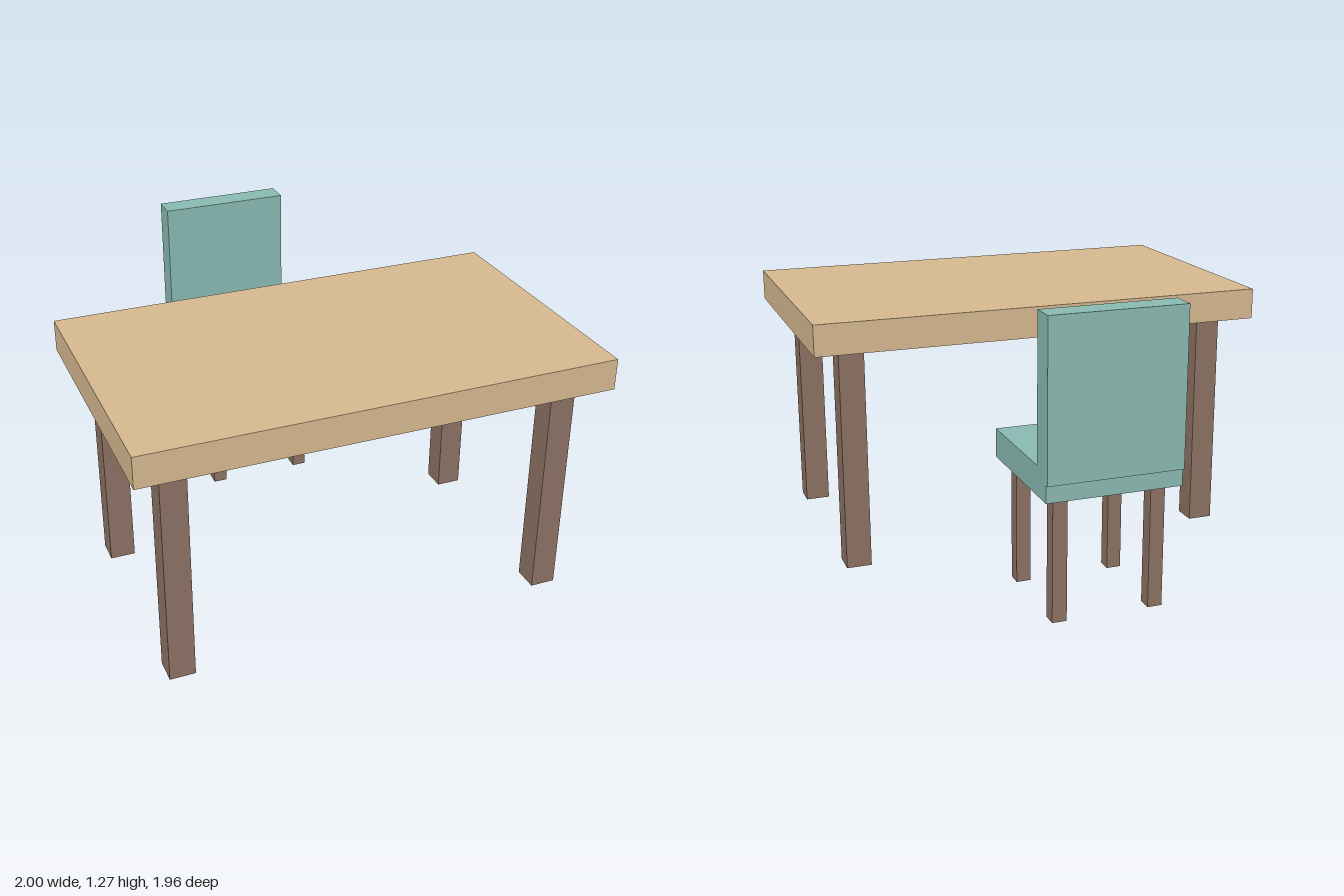
import * as THREE from 'three';

const material = (color) => new THREE.MeshStandardMaterial({ color });

// Box given by its size and centre
function addBox(parent, name, mat, size, centre) {
  const mesh = new THREE.Mesh(new THREE.BoxGeometry(...size), mat);
  mesh.name = name;
  mesh.position.set(...centre);
  parent.add(mesh);
}

// Four square legs standing on the ground, mirrored in x and z
function addLegs(parent, name, mat, thickness, height, x, z) {
  for (const sx of [-1, 1]) {
    for (const sz of [-1, 1]) {
      addBox(parent, name, mat, [thickness, height, thickness], [sx * x, height / 2, sz * z]);
    }
  }
}

export function createModel() {
  const model = new THREE.Group();
  model.name = 'tableAndChair';

  const tan = material(0xd4b78f);
  const brown = material(0x8b7062);
  const teal = material(0x88b8b0);

  // Table
  const table = new THREE.Group();
  table.name = 'table';
  table.position.z = 0.387;
  addBox(table, 'tableTop', tan, [2, 0.135, 1.185], [0, 1.049, 0]);
  addLegs(table, 'tableLeg', brown, 0.109, 0.982, 0.827, 0.442);
  model.add(table);

  // Chair behind the table, facing it
  const chair = new THREE.Group();
  chair.name = 'chair';
  chair.position.z = -0.674;
  addBox(chair, 'seat', teal, [0.576, 0.124, 0.583], [0, 0.593, 0]);
  // The backrest overhangs the rear edge of the seat slightly
  addBox(chair, 'backrest', teal, [0.576, 0.664, 0.109], [0, 0.936, -0.25]);
  addLegs(chair, 'chairLeg', brown, 0.062, 0.531, 0.208, 0.207);
  model.add(chair);

  return model;
}
